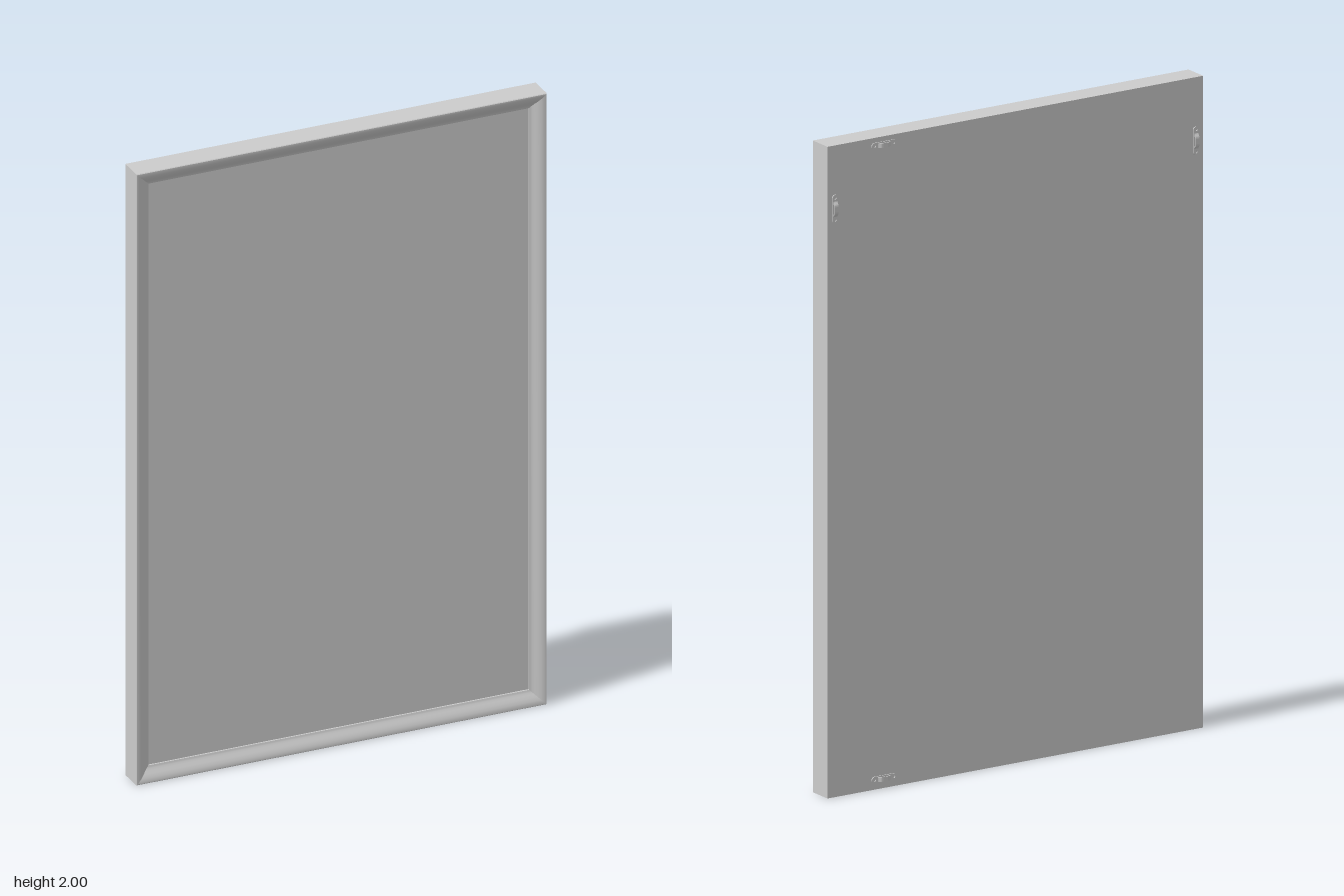
import * as THREE from 'three';
import { toCreasedNormals } from 'three/addons/utils/BufferGeometryUtils.js';

const W = 0.662, H = 1, BACK = -0.036, PANEL = 0.018, RIM = 0.048;

// Moulding cross-section: [distance in from the outer edge, z]
const PROFILE = [
  [RIM, BACK], [0, BACK], [0, 0.042], [0.002, 0.044], [0.008, 0.044], [0.017, 0.041],
  [0.026, 0.036], [0.034, 0.030], [0.040, 0.026], [0.044, 0.024], [RIM, 0.023], [RIM, PANEL - 0.002],
];

// One mitred bar, lying along the bottom edge
function barGeometry(halfLength, offset) {
  const pos = [], idx = [];
  for (const [d, z] of PROFILE) {
    pos.push(-(halfLength - d), -(offset - d), z, halfLength - d, -(offset - d), z);
  }
  for (let i = 0; i < PROFILE.length - 1; i++) {
    const a = i * 2;
    idx.push(a, a + 1, a + 3, a, a + 3, a + 2);
  }
  const geo = new THREE.BufferGeometry();
  geo.setAttribute('position', new THREE.Float32BufferAttribute(pos, 3));
  geo.setIndex(idx);
  return toCreasedNormals(geo, 0.6);
}

// Long rounded plate with two screw holes
function hangerPlate() {
  const l = 0.034, r = 0.010;
  const s = new THREE.Shape();
  s.absarc(l, 0, r, -Math.PI / 2, Math.PI / 2, false);
  s.absarc(-l, 0, r, Math.PI / 2, Math.PI * 1.5, false);
  s.closePath();
  for (const x of [-l, l]) {
    const hole = new THREE.Path();
    hole.absarc(x, 0, 0.004, 0, Math.PI * 2, true);
    s.holes.push(hole);
  }
  return new THREE.ExtrudeGeometry(s, { depth: 0.003, bevelEnabled: false, curveSegments: 8 });
}

// Arched strip standing off the plate, drawn in side profile
function hangerArch() {
  const s = new THREE.Shape();
  s.moveTo(-0.028, 0.002);
  s.bezierCurveTo(-0.018, 0.003, -0.018, 0.010, -0.008, 0.010);
  s.lineTo(0.008, 0.010);
  s.bezierCurveTo(0.018, 0.010, 0.018, 0.003, 0.028, 0.002);
  s.lineTo(0.022, 0.002);
  s.bezierCurveTo(0.014, 0.003, 0.014, 0.007, 0.008, 0.007);
  s.lineTo(-0.008, 0.007);
  s.bezierCurveTo(-0.014, 0.007, -0.014, 0.003, -0.022, 0.002);
  const geo = new THREE.ExtrudeGeometry(s, { depth: 0.014, bevelEnabled: false, curveSegments: 6 });
  geo.translate(0, 0, -0.007);
  geo.rotateX(Math.PI / 2);
  return geo;
}

export function createModel() {
  const model = new THREE.Group();
  model.name = 'framedPanel';
  const grey = new THREE.MeshStandardMaterial({ color: 0xcccccc });
  grey.name = 'lightGrey';

  const add = (parent, geo, name) => {
    const mesh = new THREE.Mesh(geo, grey);
    mesh.name = name;
    parent.add(mesh);
    return mesh;
  };

  // Four frame bars
  ['frameBottom', 'frameLeft', 'frameTop', 'frameRight'].forEach((name, k) => {
    const geo = k % 2 ? barGeometry(H, W) : barGeometry(W, H);
    const bar = add(model, geo, name);
    bar.rotation.z = k * Math.PI / 2;
    bar.position.y = H;
  });

  // Recessed panel, flush with the frame at the back
  const panel = add(model,
    new THREE.BoxGeometry((W - RIM) * 2, (H - RIM) * 2, PANEL - BACK), 'panel');
  panel.position.set(0, H, (PANEL + BACK) / 2);

  // Hangers on the back: two upright at the sides, two level at top and bottom
  const plate = hangerPlate(), arch = hangerArch();
  const spots = [
    ['hangerLeft', 0.636, 1.805, true], ['hangerRight', -0.636, 1.805, true],
    ['hangerTop', 0.463, 1.975, false], ['hangerBottom', 0.463, 0.03, false],
  ];
  for (const [name, x, y, upright] of spots) {
    const hanger = new THREE.Group();
    hanger.name = name;
    add(hanger, plate, 'hangerPlate');
    add(hanger, arch, 'hangerArch');
    hanger.rotation.set(0, Math.PI, upright ? Math.PI / 2 : 0);
    hanger.position.set(x, y, BACK);
    model.add(hanger);
  }
  return model;
}
